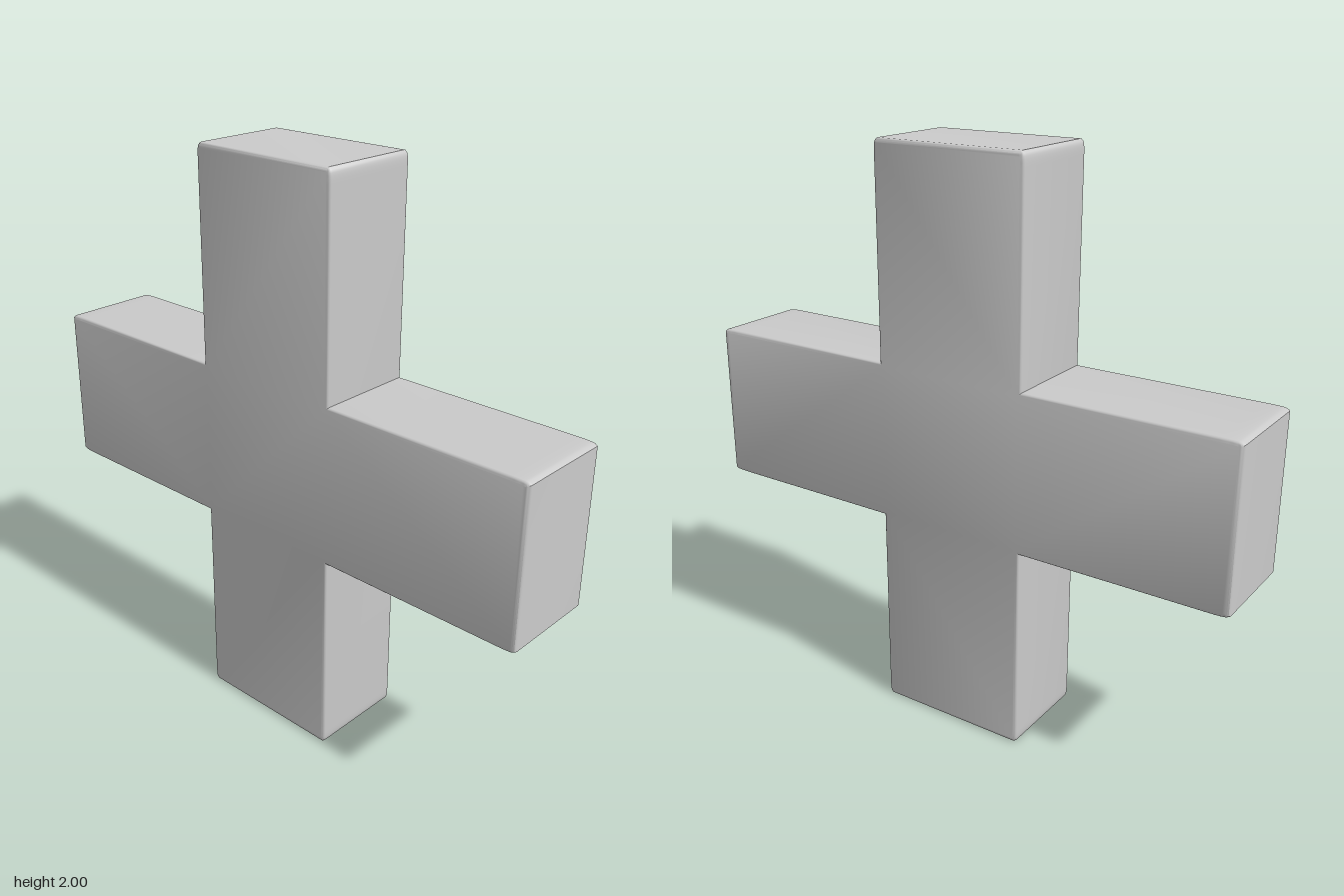
import * as THREE from 'three';
import { toCreasedNormals } from 'three/addons/utils/BufferGeometryUtils.js';

const BEVEL = 0.013;      // edge rounding
const HALF_WIDTH = 0.277; // half width of each arm
const HALF_DEPTH = 0.177; // half thickness of the whole cross

// Cross outline, drawn one arm at a time, inset by the bevel that is grown back
function crossOutline() {
  const shape = new THREE.Shape();
  const w = HALF_WIDTH - BEVEL, end = 1 - BEVEL;
  const across = 0.004; // soft arm tips: shallow across, longer along the arm
  for (let i = 0; i < 4; i++) {
    const along = i % 2 ? 0.035 : 0.06;
    const c = [1, 0, -1, 0][i], s = [0, 1, 0, -1][i];
    const p = (x, y) => [c * x - s * y, s * x + c * y];
    if (i === 0) shape.moveTo(...p(w, -w));
    else shape.lineTo(...p(w, -w));
    shape.lineTo(...p(end - along, -w));
    shape.quadraticCurveTo(...p(end, -w), ...p(end, -w + across));
    shape.lineTo(...p(end, w - across));
    shape.quadraticCurveTo(...p(end, w), ...p(end - along, w));
  }
  shape.closePath();
  return shape;
}

export function createModel() {
  const group = new THREE.Group();
  group.name = 'cross';

  const depth = 2 * (HALF_DEPTH - BEVEL);
  const geometry = new THREE.ExtrudeGeometry(crossOutline(), {
    depth,
    curveSegments: 5,
    bevelEnabled: true,
    bevelSize: BEVEL,
    bevelThickness: BEVEL,
    bevelSegments: 4,
  });
  // Centre the thickness, then turn the broad faces to the sides
  geometry.translate(0, 0, -depth / 2);
  geometry.rotateY(Math.PI / 2);
  geometry.translate(0, 1, 0);

  const body = new THREE.Mesh(
    toCreasedNormals(geometry, 0.7),
    new THREE.MeshStandardMaterial({ color: 0xcccccc })
  );
  body.name = 'crossBody';
  group.add(body);
  return group;
}
